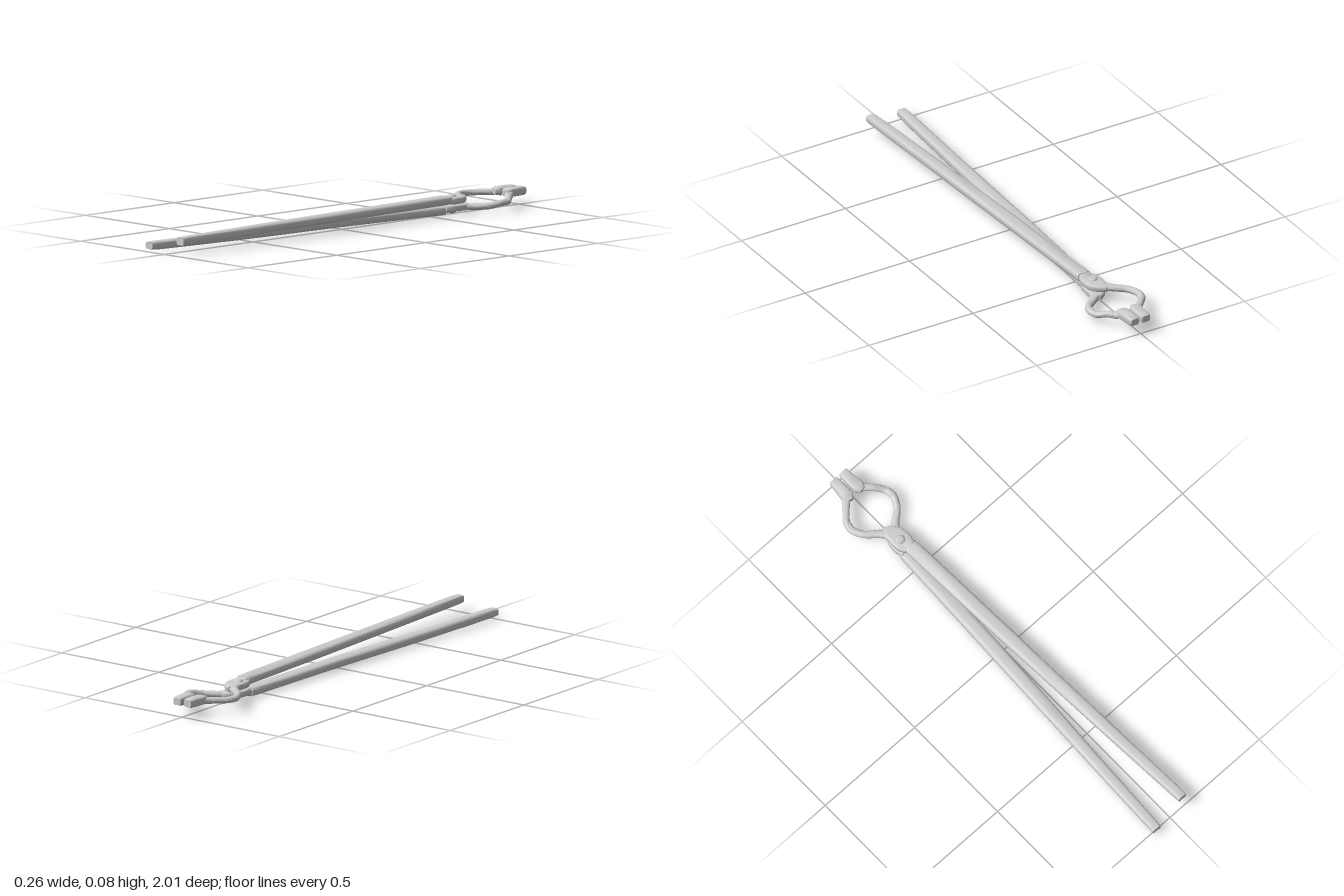
import * as THREE from 'three';
import { toCreasedNormals } from 'three/addons/utils/BufferGeometryUtils.js';

const SIDES = 16;

// Sweep a rounded-square section along stations [x, y, z, width, height, squareness]
function loft(stations, steps) {
  const path = new THREE.CatmullRomCurve3(stations.map(s => new THREE.Vector3(s[0], s[1], s[2])), false, 'catmullrom', 0.4);
  const pos = [], idx = [];
  const rings = (stations.length - 1) * steps;
  const p = new THREE.Vector3(), t = new THREE.Vector3();
  for (let i = 0; i <= rings; i++) {
    const u = i / rings;
    const k = Math.min(Math.floor(i / steps), stations.length - 2), f = i / steps - k;
    const [w, h, n] = [3, 4, 5].map(j => THREE.MathUtils.lerp(stations[k][j], stations[k + 1][j], f));
    path.getPoint(u, p);
    path.getTangent(u, t);
    t.y = 0;
    t.normalize();
    for (let j = 0; j < SIDES; j++) {
      const a = ((j + 0.5) / SIDES) * Math.PI * 2, c = Math.cos(a), s = Math.sin(a);
      const across = Math.sign(c) * Math.abs(c) ** (2 / n) * w / 2;
      const up = Math.sign(s) * Math.abs(s) ** (2 / n) * h / 2;
      pos.push(p.x - t.z * across, p.y + up, p.z + t.x * across);
    }
  }
  for (let i = 0; i < rings; i++) for (let j = 0; j < SIDES; j++) {
    const a = i * SIDES + j, b = i * SIDES + (j + 1) % SIDES, c = a + SIDES, d = b + SIDES;
    idx.push(a, b, c, b, d, c);
  }
  // flat end caps
  const last = rings * SIDES;
  for (let j = 1; j < SIDES - 1; j++) {
    idx.push(0, j + 1, j, last, last + j, last + j + 1);
  }
  const g = new THREE.BufferGeometry();
  g.setAttribute('position', new THREE.Float32BufferAttribute(pos, 3));
  g.setIndex(idx);
  return toCreasedNormals(g, 0.7);
}

export function createModel() {
  const group = new THREE.Group();
  const steel = new THREE.MeshStandardMaterial({ color: 0xcccccc, side: THREE.DoubleSide });
  const add = (parent, name, geometry) => {
    const m = new THREE.Mesh(geometry, steel);
    m.name = name;
    parent.add(m);
    return m;
  };

  // One half of the tongs: m is the handle's side, heights differ per half
  function half(name, m, y) {
    const g = new THREE.Group();
    g.name = name;
    group.add(g);
    const st = rows => rows.map(r => [r[0] * m, ...r.slice(1)]);

    // long straight handle, tapering to a blunt end
    add(g, 'handle', loft(st([
      [0.081, y.end, y.tip, 0.036, 0.022, 4],
      [0.08, y.end, y.tip - 0.025, 0.044, 0.036, 4],
      [0.058, y.mid, 0.5, 0.054, 0.038, 3.5],
      [0.035, y.mid, 0, 0.063, 0.038, 3.5],
      [0.013, y.handle, -0.53, 0.064, 0.038, 3.5],
      [0.011, y.handle, -0.575, 0.058, 0.034, 3.5],
      [0.009, y.boss, -0.605, 0.05, 0.028, 4],
    ]), 3));

    // flat pivot plate around the rivet
    add(g, 'pivotPlate', loft(st([
      [0.006, y.boss, -0.575, 0.06, 0.026, 5],
      [0.003, y.boss, -0.6, 0.08, 0.029, 6],
      [0, y.boss, -0.645, 0.082, 0.029, 6],
      [-0.012, y.boss, -0.675, 0.062, 0.028, 5],
      [-0.028, y.neck, -0.697, 0.04, 0.027, 3],
    ]), 3));

    // bowed arm that swings out and back to the jaw
    add(g, 'bowedArm', loft(st([
      [-0.008, y.boss, -0.665, 0.046, 0.027, 3],
      [-0.044, y.neck, -0.702, 0.034, 0.027, 2.4],
      [-0.092, y.arm, -0.743, 0.03, 0.028, 2.2],
      [-0.115, y.bow, -0.79, 0.032, 0.027, 2.2],
      [-0.108, y.bow, -0.832, 0.031, 0.026, 2.2],
      [-0.078, y.wrist, -0.868, 0.03, 0.026, 2.3],
      [-0.052, y.wrist, -0.895, 0.034, 0.027, 3],
      [-0.036, y.jaw, -0.915, 0.038, 0.028, 4],
    ]), 5));

    // blocky gripping jaw
    add(g, 'jaw', loft(st([
      [-0.034, y.jaw, -0.888, 0.03, 0.024, 4],
      [-0.031, y.jaw, -0.908, 0.053, 0.035, 5],
      [-0.028, y.jaw, -0.95, 0.048, 0.038, 5],
      [-0.027, y.jaw, -0.99, 0.042, 0.036, 5],
      [-0.027, y.jaw, -1, 0.036, 0.029, 5],
    ]), 2));
  }

  half('upperHalf', 1, {
    tip: 0.98, end: 0.066, mid: 0.067, handle: 0.067, boss: 0.062,
    neck: 0.061, arm: 0.06, bow: 0.059, wrist: 0.061, jaw: 0.066,
  });
  half('lowerHalf', -1, {
    tip: 1, end: 0.032, mid: 0.028, handle: 0.023, boss: 0.03,
    neck: 0.03, arm: 0.034, bow: 0.044, wrist: 0.056, jaw: 0.066,
  });

  // rivet through both plates with a domed head on each side
  const rivet = [
    [0, -0.041], [0.01, -0.0395], [0.018, -0.035], [0.021, -0.029], [0.012, -0.028],
    [0.012, 0.028], [0.021, 0.029], [0.018, 0.035], [0.01, 0.0395], [0, 0.041],
  ].map(([r, h]) => new THREE.Vector2(r, h));
  const pin = add(group, 'rivet', toCreasedNormals(new THREE.LatheGeometry(rivet, 20), 0.7));
  pin.position.set(-0.002, 0.046, -0.622);

  return group;
}
